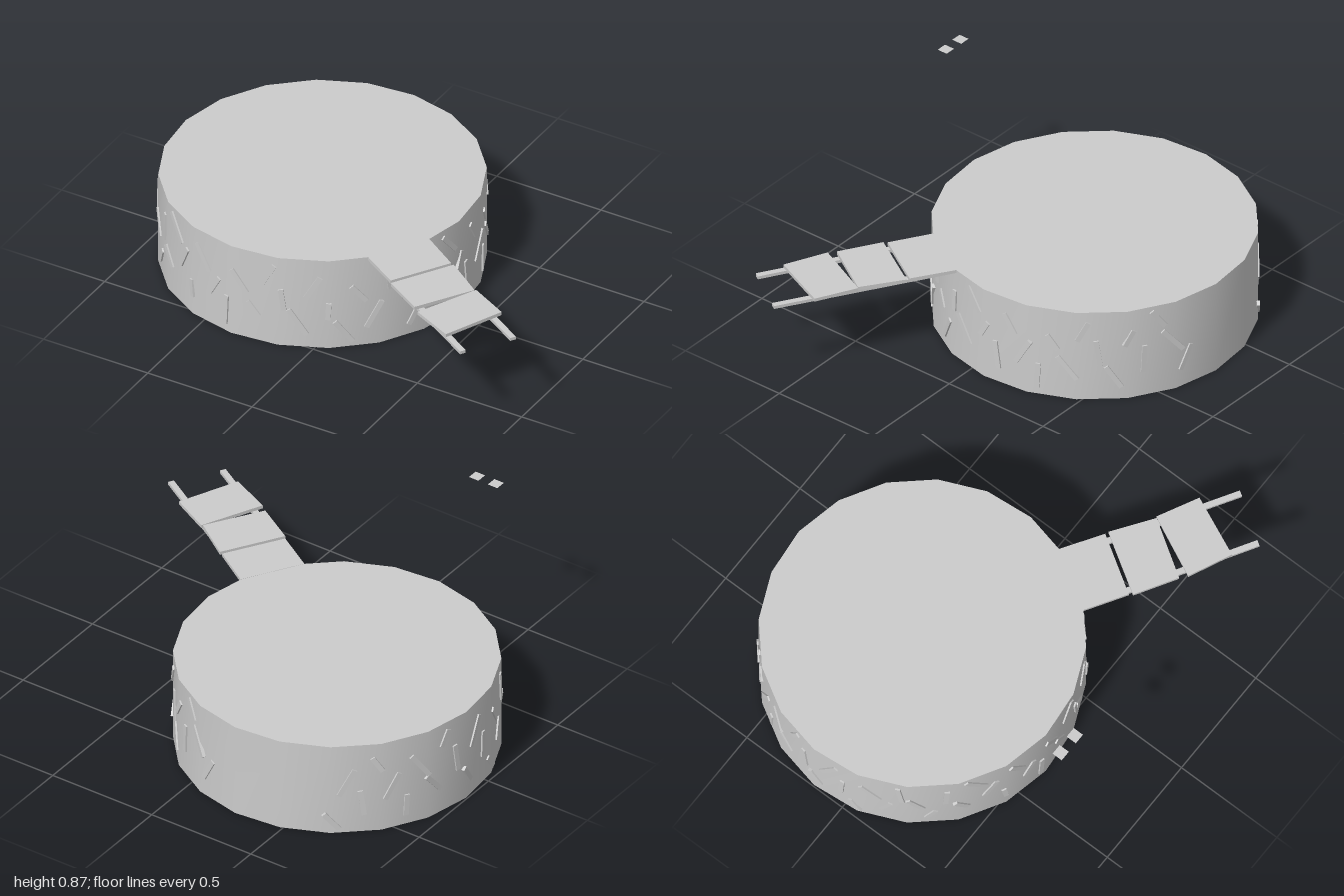
import * as THREE from 'three';
import { toCreasedNormals } from 'three/addons/utils/BufferGeometryUtils.js';

const CX = -0.315, CZ = -0.113, R = 0.68, H = 0.43;
const SIDES = 20, PHASE = 176.6;
const rad = THREE.MathUtils.degToRad;
const grey = new THREE.MeshStandardMaterial({ color: 0xcccccc, side: THREE.DoubleSide });

export function createModel() {
  const model = new THREE.Group();
  const add = (name, geometry, parent = model) => {
    const mesh = new THREE.Mesh(geometry, grey);
    mesh.name = name;
    parent.add(mesh);
    return mesh;
  };

  // Round drum with a smooth wall and sharp rims
  const drum = add('drum', toCreasedNormals(
    new THREE.CylinderGeometry(R, R, H, SIDES, 1, false, rad(PHASE)), rad(40)));
  drum.position.set(CX, H / 2, CZ);

  // Thin slivers scattered over the wall, leaving a bare stretch at the back
  const slivers = new THREE.Group();
  slivers.name = 'wallSlivers';
  model.add(slivers);
  const step = 360 / SIDES, count = 58;
  const leans = [-40, 28, -8, -33, 30, 3, -36];
  const lengths = [0.1, 0.14, 0.12, 0.08, 0.13];
  for (let i = 0; i < count; i++) {
    const angle = THREE.MathUtils.lerp(-147, 163, i / (count - 1));
    const lean = rad(leans[i % leans.length]);
    const length = lengths[i % lengths.length];
    // Heights follow the golden ratio so that neighbours never line up
    const margin = 0.02 + length / 2 * Math.cos(lean);
    const y = THREE.MathUtils.lerp(margin, H - margin, (i * 0.618) % 1);
    // Each one lies on the flat facet beneath it
    const facet = PHASE + (Math.floor((angle - PHASE) / step) + 0.5) * step;
    const reach = R * Math.cos(rad(step / 2)) / Math.cos(rad(angle - facet));
    const sliver = add('wallSliver', new THREE.BoxGeometry(0.022, length, 0.014), slivers);
    sliver.position.set(CX + reach * Math.sin(rad(angle)), y, CZ + reach * Math.cos(rad(angle)));
    sliver.rotation.set(0, rad(facet), -lean, 'YXZ');
  }

  // Walkway boards, slightly askew, given by their corners in x and z
  const walkway = new THREE.Group();
  walkway.name = 'walkway';
  model.add(walkway);
  const boards = [
    [[0.325, 0.105], [0.495, 0.215], [0.345, 0.455], [0.175, 0.35]],
    [[0.51, 0.22], [0.68, 0.34], [0.53, 0.575], [0.355, 0.47]],
    [[0.685, 0.335], [0.86, 0.425], [0.745, 0.685], [0.56, 0.6]],
  ];
  for (const corners of boards) {
    const shape = new THREE.Shape(corners.map(([x, z]) => new THREE.Vector2(x, -z)));
    const geometry = new THREE.ExtrudeGeometry(shape, { depth: 0.015, bevelEnabled: false });
    geometry.rotateX(-Math.PI / 2).translate(0, 0.416, 0);
    add('walkwayBoard', geometry, walkway);
  }

  // Two rails carrying the boards
  for (const [x0, z0, x1, z1] of [[0.32, 0.14, 0.985, 0.545], [0.19, 0.335, 0.857, 0.736]]) {
    const rail = add('walkwayRail',
      new THREE.BoxGeometry(Math.hypot(x1 - x0, z1 - z0), 0.014, 0.026), walkway);
    rail.position.set((x0 + x1) / 2, 0.409, (z0 + z1) / 2);
    rail.rotation.y = -Math.atan2(z1 - z0, x1 - x0);
  }

  // Pair of small flat squares hovering in front
  for (const x of [-0.505, -0.41]) {
    add('floatingSquare', new THREE.PlaneGeometry(0.048, 0.048).rotateX(-Math.PI / 2))
      .position.set(x, 0.87, 0.76);
  }
  return model;
}
